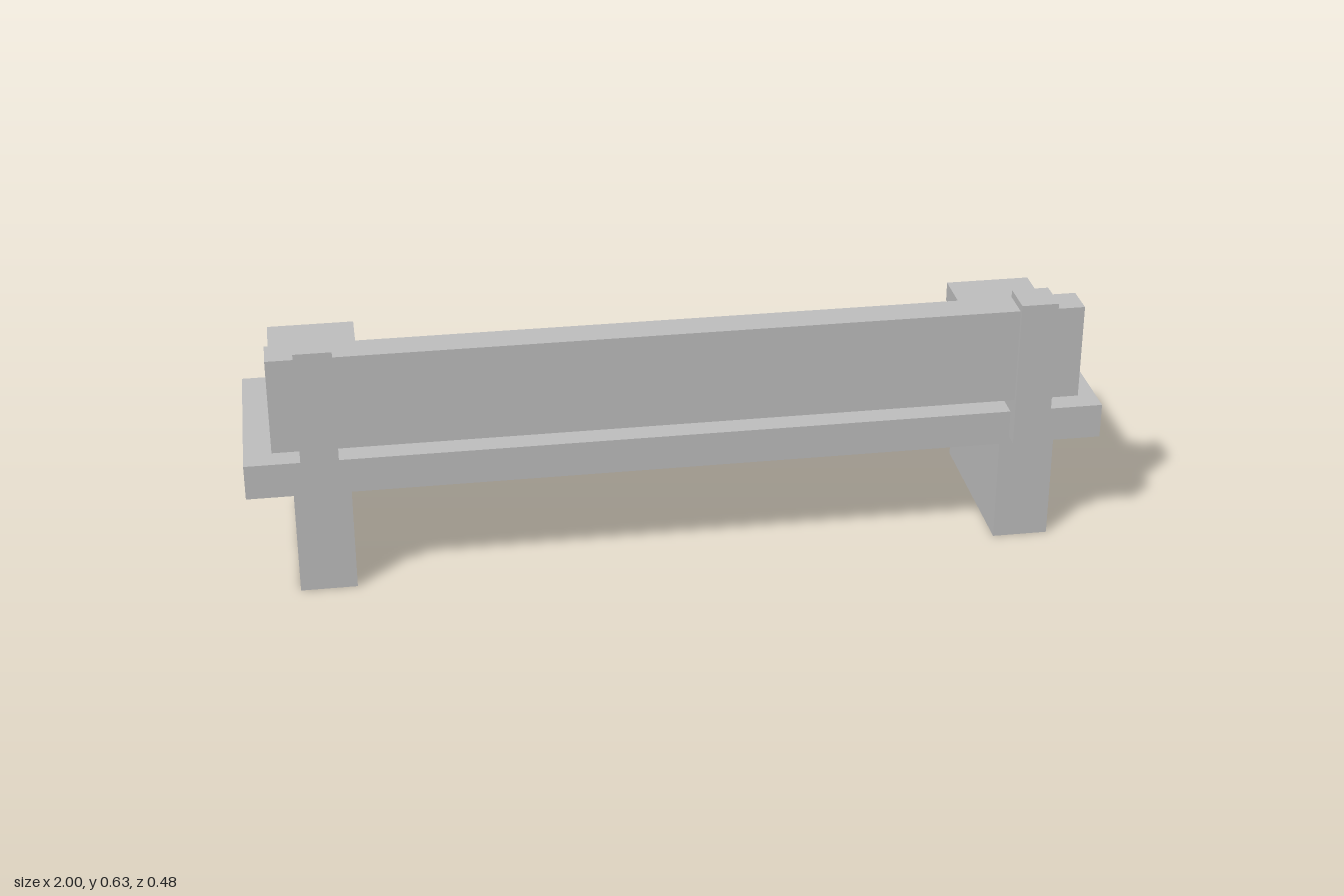
import * as THREE from 'three';

export function createModel() {
  const bench = new THREE.Group();
  bench.name = 'bench';
  const grey = new THREE.MeshStandardMaterial({ color: 0xbfbfbf });
  grey.name = 'plain grey';

  // Box given by its extents along each axis
  function block(name, [x0, x1], [y0, y1], [z0, z1]) {
    const mesh = new THREE.Mesh(new THREE.BoxGeometry(x1 - x0, y1 - y0, z1 - z0), grey);
    mesh.position.set((x0 + x1) / 2, (y0 + y1) / 2, (z0 + z1) / 2);
    mesh.name = name;
    bench.add(mesh);
  }

  // Seat plank and backrest board
  block('seat', [-1, 1], [0.254, 0.338], [-0.24, 0.205]);
  block('backrest', [-0.934, 0.93], [0.381, 0.609], [0.152, 0.23]);

  // Parts repeated at each end; the upper frame sits slightly off centre
  for (const [side, label] of [[-1, 'right'], [1, 'left']]) {
    const pair = (name, centre, width, offset, y, z) => {
      const x = side * centre + offset;
      block(label + name, [x - width / 2, x + width / 2], y, z);
    };
    pair('Leg', 0.825, 0.131, -0.002, [0, 0.254], [-0.222, 0.2]);
    pair('Post', 0.825, 0.086, -0.004, [0.272, 0.627], [0.152, 0.241]);
    pair('Armrest', 0.826, 0.203, -0.003, [0.441, 0.488], [-0.204, 0.152]);
  }
  return bench;
}
